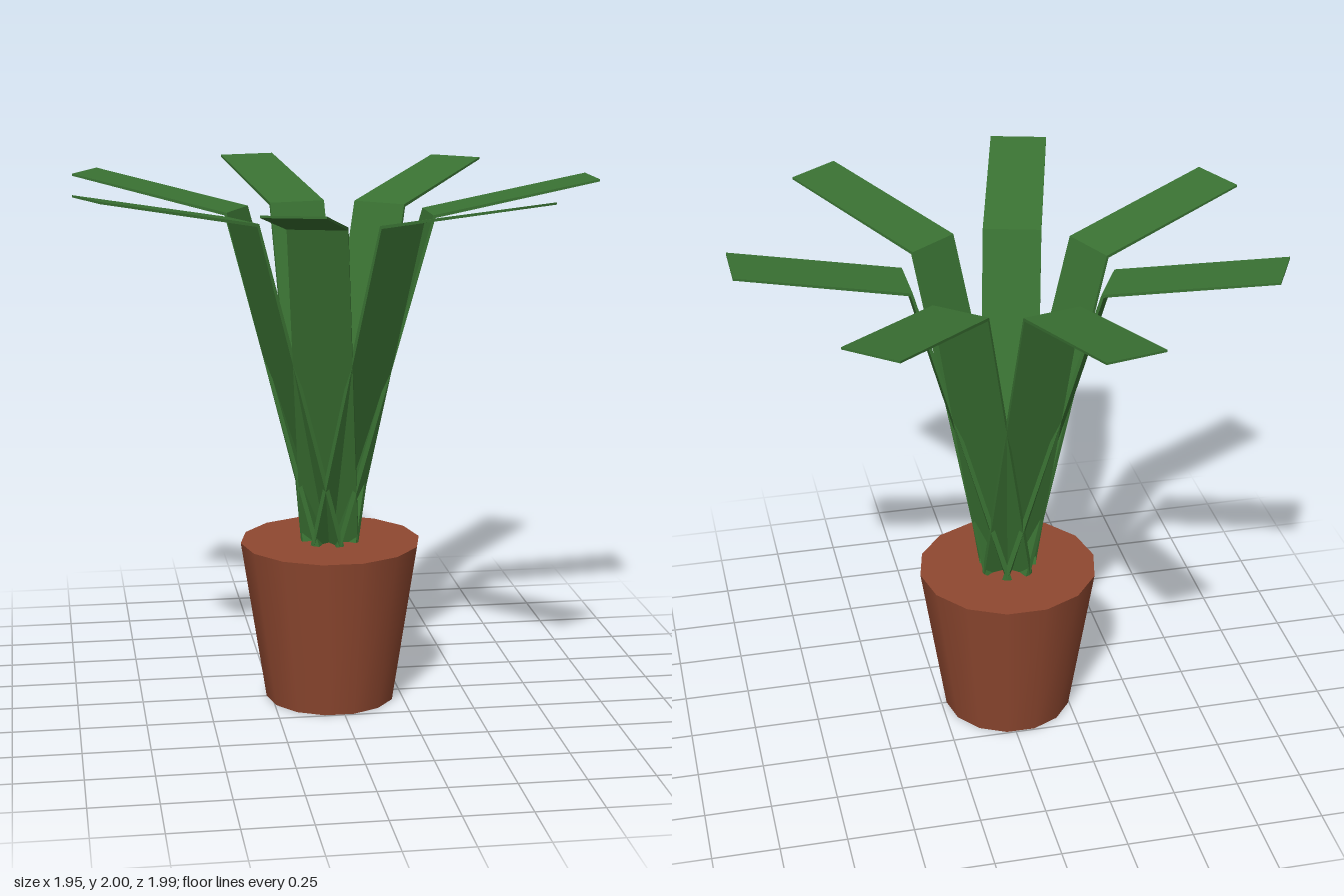
import * as THREE from 'three';

export function createModel() {
  const model = new THREE.Group();
  model.name = 'pottedPlant';

  const clay = new THREE.MeshStandardMaterial({ color: 0x8f4830 });
  clay.name = 'terracotta';
  const green = new THREE.MeshStandardMaterial({ color: 0x3a7233 });
  green.name = 'leafGreen';

  // Plant and pot share an axis slightly left of the origin
  const plant = new THREE.Group();
  plant.name = 'plant';
  plant.position.x = -0.02;
  model.add(plant);

  // Tapered pot, smooth sides, filled to the rim
  const pot = new THREE.Mesh(new THREE.CylinderGeometry(0.345, 0.25, 0.622, 14), clay);
  pot.name = 'pot';
  pot.rotation.y = Math.PI / 2;
  pot.position.y = 0.311;
  plant.add(pot);

  // Side profile of one thin leaf: rising stalk, then an outward bend
  const profile = new THREE.Shape([
    [0.02, 0.6], [0.376, 1.868], [0.995, 1.992],
    [0.995, 2.0], [0.368, 1.878], [0.0, 0.6],
  ].map(([r, y]) => new THREE.Vector2(r, y)));
  const width = 0.22;
  const leafGeometry = new THREE.ExtrudeGeometry(profile, { depth: width, bevelEnabled: false });
  leafGeometry.translate(0, 0, -width / 2);

  // Seven leaves fanned around the axis
  const leaves = new THREE.Group();
  leaves.name = 'leaves';
  for (let i = 0; i < 7; i++) {
    const leaf = new THREE.Mesh(leafGeometry, green);
    leaf.name = `leaf${i + 1}`;
    leaf.rotation.y = THREE.MathUtils.degToRad(51 * i);
    leaves.add(leaf);
  }
  plant.add(leaves);

  return model;
}
